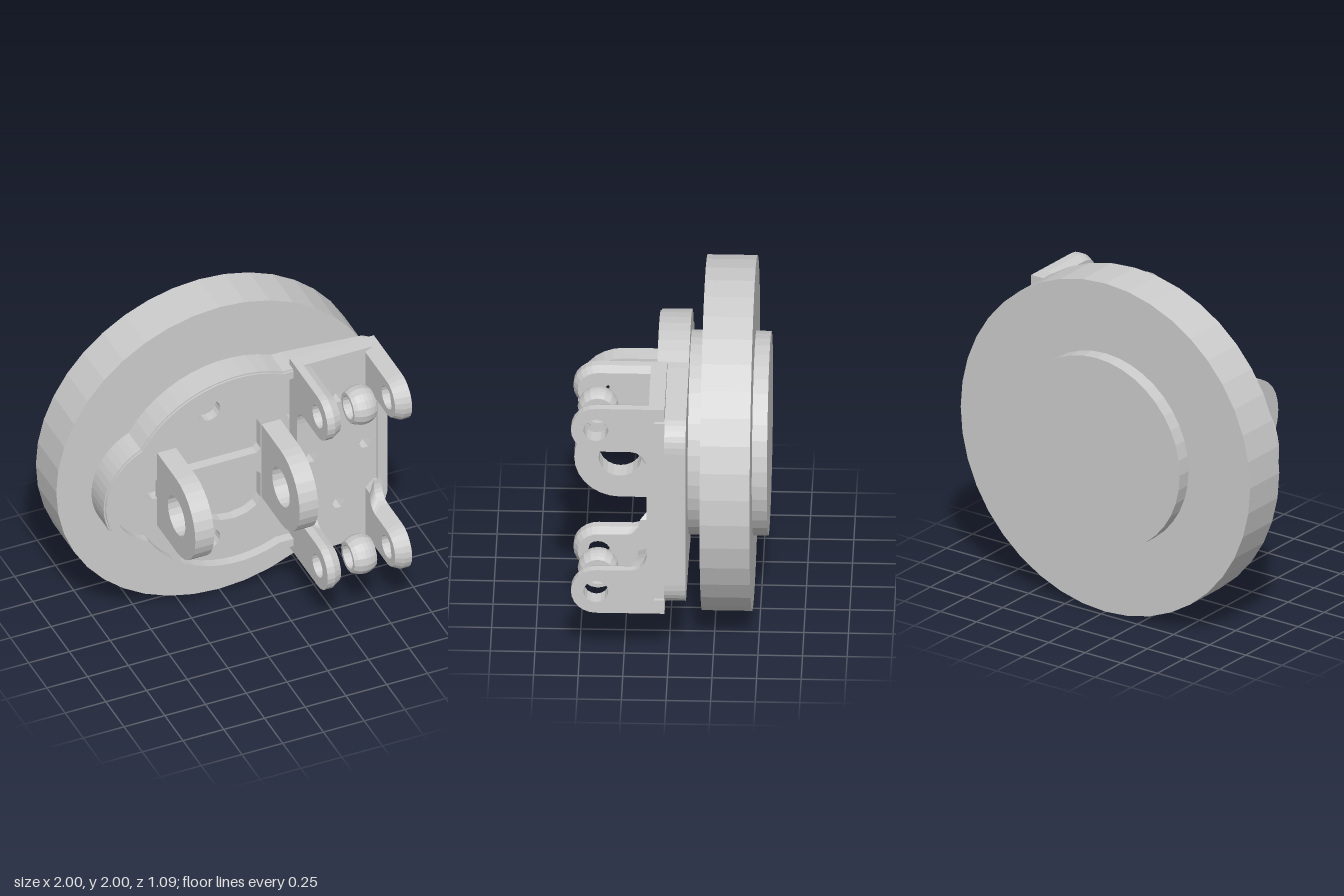
import * as THREE from 'three';

const material = new THREE.MeshStandardMaterial({ color: 0xcccccc, flatShading: true });
const V = (x, y) => new THREE.Vector2(x, y);

// Points along a circular arc, angles in degrees
function arc(cx, cy, r, a0, a1, n) {
  return Array.from({ length: n + 1 }, (_, i) => {
    const a = THREE.MathUtils.degToRad(a0 + ((a1 - a0) * i) / n);
    return V(cx + r * Math.cos(a), cy + r * Math.sin(a));
  });
}
const circle = (x, y, r, n = 16) => arc(x, y, r, 0, 360, n).slice(0, -1);
const flip = (pts) => pts.map((p) => V(p.x, -p.y));
const mirrored = (pts) => [...pts, ...flip(pts).reverse()];

function extrude(points, holes, depth, steps = 1) {
  const shape = new THREE.Shape(points);
  shape.holes = holes.map((h) => new THREE.Path(h));
  return new THREE.ExtrudeGeometry(shape, { depth, steps, bevelEnabled: false });
}

// Upper edge of the round body blending into the smaller side lobe
function lobedEdge(bodyR, lobeR, startY) {
  const lobeX = -0.43;
  const x = (lobeR ** 2 - bodyR ** 2 - lobeX ** 2) / (-2 * lobeX);
  const y = Math.sqrt(bodyR ** 2 - x ** 2);
  const deg = THREE.MathUtils.radToDeg;
  return [
    ...arc(0, 0, bodyR, deg(Math.asin(startY / bodyR)), deg(Math.atan2(y, x)), 12),
    ...arc(lobeX, 0, lobeR, deg(Math.atan2(y, x - lobeX)), 179.5, 10).slice(1),
  ];
}

export function createModel() {
  const model = new THREE.Group();
  const body = new THREE.Group();
  body.name = 'mountAssembly';
  body.position.y = 1;
  model.add(body);

  function add(name, geometry, x = 0, y = 0, z = 0) {
    const mesh = new THREE.Mesh(geometry, material);
    mesh.name = name;
    mesh.position.set(x, y, z);
    body.add(mesh);
    return mesh;
  }
  function disc(name, r, z0, z1) {
    const g = new THREE.CylinderGeometry(r, r, z1 - z0, 40);
    add(name, g.rotateX(Math.PI / 2), 0, 0, (z0 + z1) / 2);
  }
  // Profile drawn in (z, y), thickness running from x1 down to x0
  const sideways = (geometry) => geometry.rotateY(-Math.PI / 2);

  // Wheel-like discs
  disc('backDisc', 0.575, -0.545, -0.46);
  disc('mainDisc', 1, -0.46, -0.18);
  disc('neck', 0.575, -0.18, -0.1);

  // Base plate: solid back and a pierced floor
  const corner = new THREE.QuadraticBezierCurve(V(0.945, 0.43), V(0.945, 0.55), V(0.84, 0.59));
  const outerEdge = lobedEdge(0.69, 0.39, 0.63);
  const plate = mirrored([...corner.getPoints(6), V(0.34, 0.63), ...outerEdge]);
  const pocket = [
    V(-0.29, 0.065), V(0.14, 0.065), V(0.165, 0.09), V(0.165, 0.26), V(0.14, 0.305),
    V(0.08, 0.34), V(0, 0.355), V(-0.08, 0.345), V(-0.17, 0.305), V(-0.25, 0.24),
    V(-0.305, 0.16), V(-0.32, 0.11), V(-0.315, 0.08),
  ];
  const floorHoles = [
    pocket, flip(pocket), circle(-0.15, 0.455, 0.067), circle(-0.15, -0.455, 0.067),
    circle(-0.475, 0, 0.065), circle(0.375, 0.28, 0.06), circle(0.375, -0.28, 0.06),
  ];
  add('basePlateBack', extrude(plate, [], 0.06), 0, 0, -0.1);
  add('basePlateFloor', extrude(plate, floorHoles, 0.06), 0, 0, -0.04);

  // Raised rim, open toward the bracket, with a narrow stepped lip
  function rim(name, bodyR, lobeR, edgeY, z0, z1) {
    const outer = mirrored([V(0.88, 0.59), V(0.34, edgeY), ...lobedEdge(bodyR, lobeR, edgeY)]);
    const inner = mirrored([V(0.88, 0.57), ...lobedEdge(0.625, 0.325, 0.57)]);
    add(name, extrude([...outer, ...inner.reverse()], [], z1 - z0), 0, 0, z0);
  }
  rim('rim', 0.69, 0.39, 0.63, 0.02, 0.068);
  rim('rimLip', 0.68, 0.38, 0.62, 0.068, 0.078);

  // Pair of large pierced lugs
  const lug = [V(0, -0.257), ...arc(0.287, 0, 0.257, -90, 90, 14), V(0, 0.257)];
  for (const x of [-0.355, 0.285]) {
    add('largeLug', sideways(extrude(lug, [circle(0.287, 0, 0.12, 20)], 0.115)), x);
  }

  // Bracket back plate with screw holes
  const screwHoles = [[0.6, 0.375], [0.6, -0.375], [0.435, 0], [0.765, 0]];
  add('bracketPlate', extrude(
    [V(0.342, -0.67), V(0.86, -0.67), V(0.86, 0.67), V(0.342, 0.67)],
    screwHoles.map(([x, y]) => circle(x, y, 0.037, 6)), 0.09), 0, 0, 0.02);

  // Bracket arms, chamfered on their inner faces
  const web = new THREE.QuadraticBezierCurve(V(0.21, 0.39), V(0.12, 0.38), V(0.12, 0.27));
  const armProfile = [
    V(0.02, 0.67), ...arc(0.405, 0.53, 0.14, 90, -90, 12), ...web.getPoints(6), V(0.02, 0.27),
  ];
  function arm(upper, innerDepth) {
    const side = upper ? (p) => p : flip;
    const cy = upper ? 0.53 : -0.53;
    const g = extrude(side(armProfile), [circle(0.405, cy, 0.07)], 0.093, 2);
    const p = g.attributes.position;
    for (let i = 0; i < p.count; i++) {
      const dx = p.getX(i) - 0.405, dy = p.getY(i) - cy;
      if (Math.abs(p.getZ(i) - innerDepth) < 1e-4 && Math.hypot(dx, dy) > 0.1) {
        p.setXY(i, 0.405 + dx * 0.82, cy + dy * 0.82);
      }
    }
    g.computeVertexNormals();
    return sideways(g);
  }
  for (const upper of [true, false]) {
    add('leftBracketArm', arm(upper, 0.093), 0.86);
    add('rightBracketArm', arm(upper, 0), 0.435);
  }

  // Low ridges along the bracket sides
  for (const x of [0.354, 0.848]) {
    add('bracketRidge', new THREE.BoxGeometry(0.024, 0.54, 0.1), x, 0, 0.07);
  }

  // Pierced ball bearings floating between the arms
  const ball = [V(0.07, -0.07), ...arc(0, 0, 0.115, -37.5, 37.5, 6), V(0.07, 0.07), V(0.07, -0.07)];
  for (const y of [0.53, -0.53]) {
    add('ballBearing', new THREE.LatheGeometry(ball, 16).rotateZ(Math.PI / 2), 0.6, y, 0.4);
  }

  return model;
}
